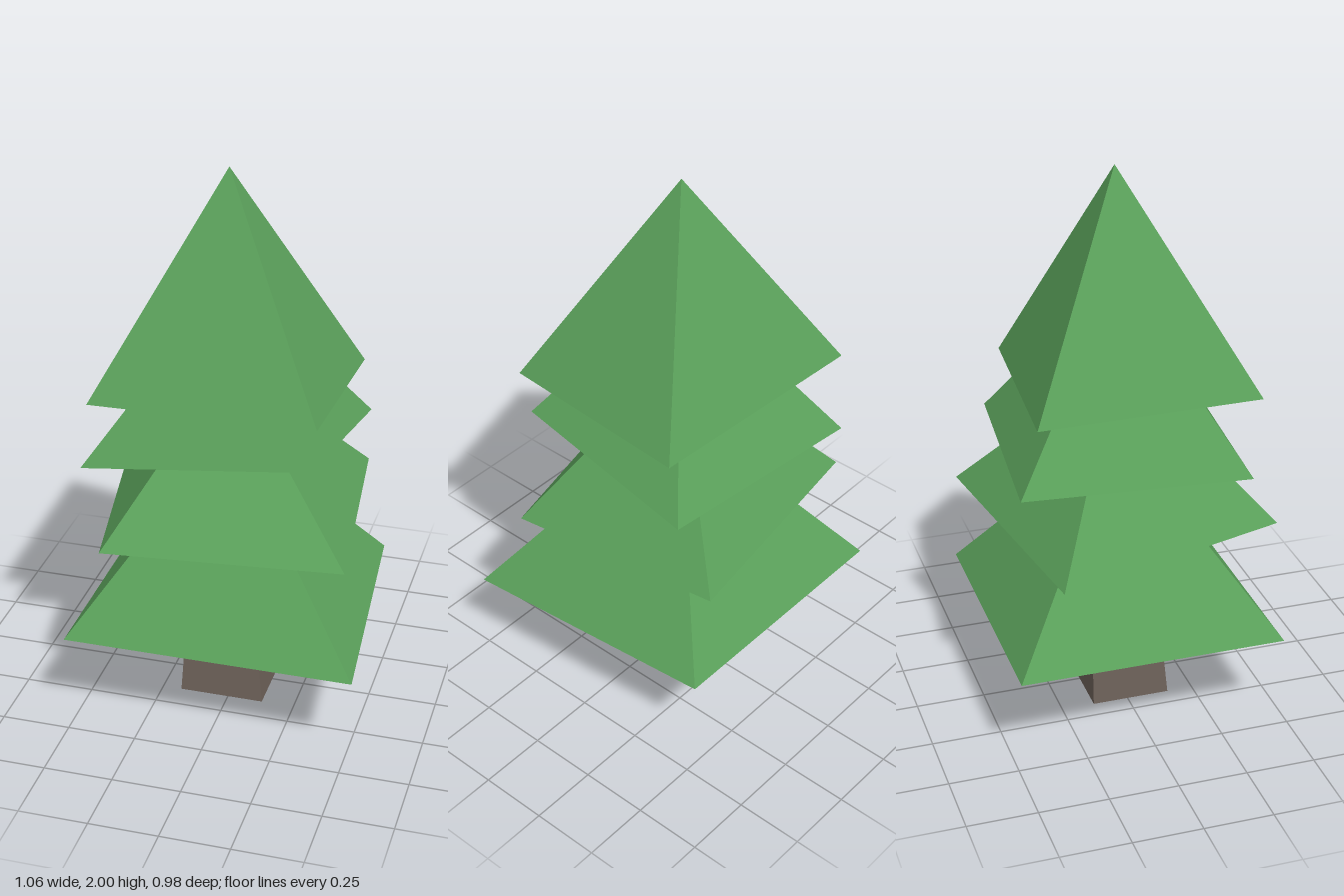
import * as THREE from 'three';

const leaf = new THREE.MeshStandardMaterial({ color: 0x5aa05a, flatShading: true });
const bark = new THREE.MeshStandardMaterial({ color: 0x6e625a, flatShading: true });

// Flat-sided solid between a lower and an upper ring of four corners,
// ordered back-left, front-left, front-right, back-right as seen from above.
function solid(name, low, high, material) {
  const pos = [];
  const tri = (a, b, c) => pos.push(...a, ...b, ...c);
  for (let i = 0; i < 4; i++) {
    const j = (i + 1) % 4;
    tri(low[i], low[j], high[j]);
    if (high[i] !== high[j]) tri(low[i], high[j], high[i]);
  }
  // underside, and a lid when the top is not a point
  tri(low[0], low[2], low[1]);
  tri(low[0], low[3], low[2]);
  if (high[0] !== high[1]) {
    tri(high[0], high[1], high[2]);
    tri(high[0], high[2], high[3]);
  }
  const geo = new THREE.BufferGeometry();
  geo.setAttribute('position', new THREE.Float32BufferAttribute(pos, 3));
  geo.computeVertexNormals();
  const mesh = new THREE.Mesh(geo, material);
  mesh.name = name;
  return mesh;
}

// Pyramid: four base corners rising to one apex
const pyramid = (name, base, apex) => solid(name, base, [apex, apex, apex, apex], leaf);

// Level rectangle of corners
const rect = (x0, x1, z0, z1, y) => [[x0, y, z0], [x0, y, z1], [x1, y, z1], [x1, y, z0]];

export function createModel() {
  const tree = new THREE.Group();
  tree.name = 'pineTree';

  // Tapered trunk
  tree.add(solid('trunk',
    rect(-0.18, 0.13, -0.13, 0.155, 0),
    rect(-0.16, 0.09, -0.13, 0.122, 0.36), bark));

  // Four crooked foliage tiers, bottom to top
  tree.add(pyramid('bottomFoliage',
    [[-0.515, 0.355, -0.487], [-0.515, 0.355, 0.47], [0.53, 0.355, 0.47], [0.445, 0.355, -0.487]],
    [-0.035, 1.03, 0]));
  tree.add(pyramid('lowerFoliage',
    [[-0.533, 0.695, -0.337], [-0.363, 0.745, 0.49], [0.463, 0.695, 0.32], [0.372, 0.722, -0.49]],
    [-0.035, 1.29, 0]));
  tree.add(pyramid('upperFoliage',
    [[-0.397, 0.99, -0.445], [-0.47, 0.99, 0.352], [0.345, 1.09, 0.358], [0.4, 0.99, -0.368]],
    [-0.035, 1.61, 0]));
  tree.add(pyramid('topFoliage',
    [[-0.44, 1.26, -0.395], [-0.422, 1.26, 0.397], [0.37, 1.26, 0.38], [0.38, 1.213, -0.313]],
    [-0.035, 2, -0.005]));

  return tree;
}
